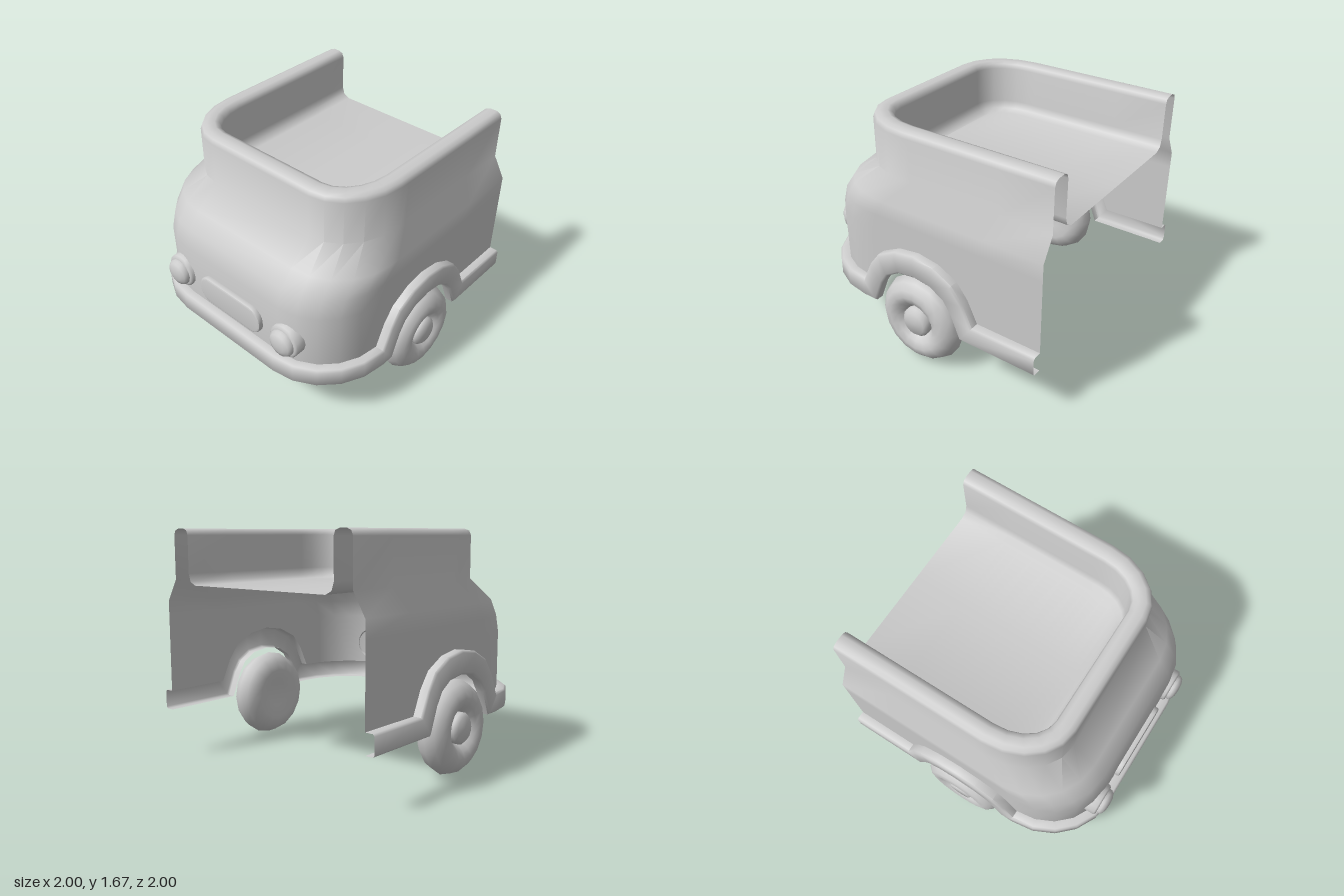
import * as THREE from 'three';
import { toCreasedNormals } from 'three/addons/utils/BufferGeometryUtils.js';

const paint = new THREE.MeshStandardMaterial({ color: 0xcccccc, side: THREE.DoubleSide });
paint.name = 'light grey';

const AXLE_Z = -0.04;
const CORNER_STEPS = 5;
// Wheel arch stations: outer edge (offset, y) and inner edge (offset, y)
const half = [
  [0.475, 0.5, 0.37, 0.36], [0.4, 0.66, 0.3, 0.535], [0.315, 0.77, 0.245, 0.62],
  [0.165, 0.845, 0.14, 0.685], [0, 0.87, 0, 0.705],
];
const arch = [
  ...half.map(([a, b, c, d]) => [AXLE_Z - a, b, AXLE_Z - c, d]),
  ...half.slice(0, 4).reverse().map(([a, b, c, d]) => [AXLE_Z + a, b, AXLE_Z + c, d]),
];
const sideStations = [[-1, 0.5, -1, 0.36], ...arch];
const SIDE_END = 0.435;

function mesh(name, geometry, crease = 0.9) {
  const m = new THREE.Mesh(toCreasedNormals(geometry, crease), paint);
  m.name = name;
  return m;
}

// Surface through rows of equally many points
function loft(rows) {
  const n = rows[0].length;
  const index = [];
  for (let r = 0; r < rows.length - 1; r++) {
    for (let c = 0; c < n - 1; c++) {
      const a = r * n + c;
      index.push(a, a + 1, a + n + 1, a, a + n + 1, a + n);
    }
  }
  const g = new THREE.BufferGeometry();
  g.setAttribute('position', new THREE.Float32BufferAttribute(rows.flat(2), 3));
  g.setIndex(index);
  return g;
}

// Mirror a +x half (rear to front centre) into a full U-shaped row
const mirrorRow = (pts) => [...pts.map(([x, y, z]) => [-x, y, z]), ...[...pts].reverse()];

// U-shaped row: half width w, front f, corner centre (cx, cz)
function ring(w, y, f, cx, cz, useArch = false) {
  const pts = sideStations.map(([z, top]) => [
    w, useArch ? top : y, -1 + (z + 1) * (cz + 1) / (SIDE_END + 1),
  ]);
  for (let i = 1; i <= CORNER_STEPS; i++) {
    const a = (i / CORNER_STEPS) * Math.PI / 2;
    pts.push([cx + (w - cx) * Math.cos(a), y, cz + (f - cz) * Math.sin(a)]);
  }
  return mirrorRow(pts);
}

// Body shell: outside, rolled rim, inner wall and floor, open at the rear
function makeBody() {
  const rows = [
    ring(0.9, 0.5, 0.91, 0.45, SIDE_END, true),
    ring(0.9, 0.91, 0.91, 0.45, SIDE_END),
    ring(0.9, 1.04, 0.87, 0.45, 0.4),
    ring(0.9, 1.16, 0.78, 0.45, 0.32),
    ring(0.81, 1.315, 0.605, 0.44, 0.14),
  ];
  const upper = [
    [0.81, 1.625], [0.797, 1.657], [0.765, 1.67], [0.71, 1.67], [0.678, 1.657],
    [0.665, 1.625], [0.665, 1.36], [0.647, 1.305], [0.6, 1.28],
  ];
  for (const [w, y] of upper) rows.push(ring(w, y, w - 0.207, 0.44, 0.14));
  rows.push(rows.at(-1).map(([, y, z]) => [0, y, z]));
  return mesh('bodyShell', loft(rows));
}

// Bumper strip running round the front and over both wheel arches
function makeTrim() {
  const section = [[0, 0], [0.8, 0], [1, 0.1], [1, 0.9], [0.8, 1], [0, 1]];
  const rows = section.map(([out, up]) => {
    const pts = sideStations.map(([zt, yt, zb, yb]) => [
      0.9 + 0.07 * out, yb + (yt - yb) * up, zb + (zt - zb) * up,
    ]);
    for (let i = 0; i <= CORNER_STEPS; i++) {
      const a = (i / CORNER_STEPS) * Math.PI / 2;
      pts.push([
        0.45 + (0.45 + 0.07 * out) * Math.cos(a), 0.36 + 0.14 * up,
        SIDE_END + (0.475 + 0.07 * out) * Math.sin(a),
      ]);
    }
    // Drop the mirrored-side back station gap by keeping equal counts per row
    return mirrorRow(pts);
  });
  return mesh('bumperAndArchTrim', loft(rows));
}

function lathe(name, profile, segments) {
  return mesh(name, new THREE.LatheGeometry(profile.map((p) => new THREE.Vector2(...p)), segments));
}

// Wheel with rounded tyre and hub, lathed about the axle
function makeWheel(side) {
  const wheel = new THREE.Group();
  wheel.name = side > 0 ? 'leftWheel' : 'rightWheel';
  wheel.add(lathe('tyre', [
    [0, -0.09], [0.1, -0.095], [0.2, -0.12], [0.26, -0.105], [0.305, -0.065], [0.332, 0],
    [0.305, 0.065], [0.26, 0.105], [0.21, 0.117], [0.16, 0.1], [0.12, 0.06], [0.1, 0.03], [0, 0.03],
  ], 16));
  wheel.add(lathe('hub', [[0.11, 0.02], [0.11, 0.085], [0.085, 0.11], [0, 0.11]], 16));
  wheel.rotation.z = -side * Math.PI / 2;
  wheel.position.set(side * 0.882, 0.336, AXLE_Z);
  return wheel;
}

// Headlight: bezel ring and domed lens facing forward
function makeHeadlight(side) {
  const light = new THREE.Group();
  light.name = side > 0 ? 'leftHeadlight' : 'rightHeadlight';
  light.add(lathe('bezel', [[0.125, -0.05], [0.125, 0.03], [0.112, 0.042], [0.09, 0.042]], 16));
  light.add(lathe('lens', [[0.1, 0.03], [0.1, 0.06], [0.085, 0.08], [0.05, 0.093], [0, 0.097]], 16));
  light.rotation.x = Math.PI / 2;
  light.position.set(side * 0.52, 0.67, 0.9);
  return light;
}

// Rounded grille plate with bevelled edge
function makeGrille() {
  const w = 0.287, h = 0.097, r = 0.085;
  const s = new THREE.Shape();
  s.absarc(w - r, h - r, r, 0, Math.PI / 2);
  s.absarc(r - w, h - r, r, Math.PI / 2, Math.PI);
  s.absarc(r - w, r - h, r, Math.PI, Math.PI * 1.5);
  s.absarc(w - r, r - h, r, Math.PI * 1.5, Math.PI * 2);
  s.closePath();
  const g = new THREE.ExtrudeGeometry(s, {
    depth: 0.03, bevelSize: 0.013, bevelThickness: 0.013, bevelSegments: 2, curveSegments: 4,
  });
  const grille = mesh('grille', g, 0.6);
  grille.position.set(0, 0.668, 0.903);
  return grille;
}

export function createModel() {
  const model = new THREE.Group();
  model.name = 'openTruckCab';
  model.add(makeBody(), makeTrim(), makeGrille());
  for (const side of [-1, 1]) model.add(makeWheel(side), makeHeadlight(side));
  return model;
}
